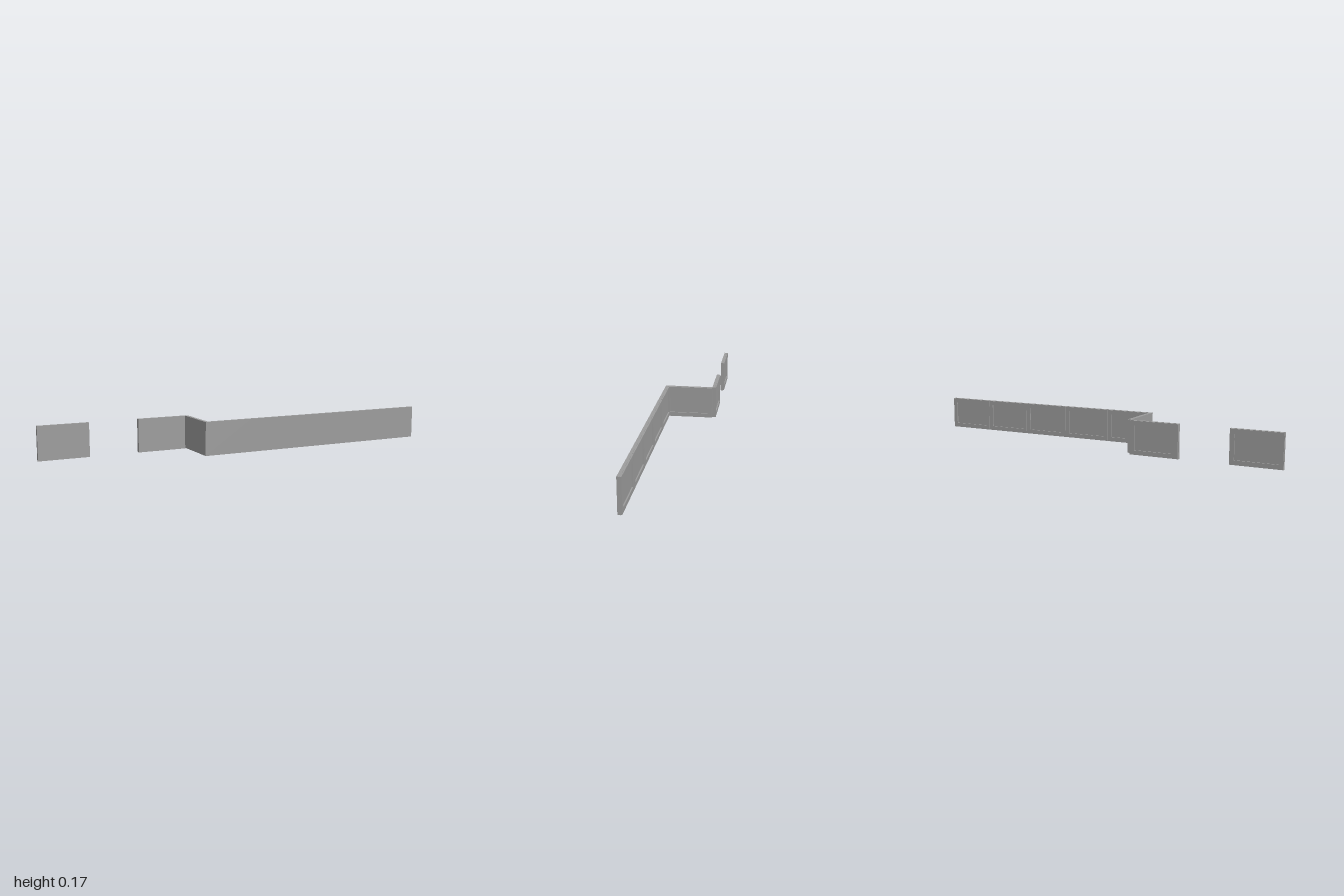
import * as THREE from 'three';

const W = 0.25, T = 0.02, DEPTH = 0.006, MARGIN = 0.023;
const material = new THREE.MeshStandardMaterial({ color: 0x9d9d9d, flatShading: true });

// Corners of a rectangle standing on y = 0, shrunk by an inset
function rectPoints(height, inset) {
  const x = W / 2 - inset, y0 = inset, y1 = height - inset;
  return [[-x, y0], [x, y0], [x, y1], [-x, y1]].map(([a, b]) => new THREE.Vector2(a, b));
}

// Flat slab with a raised rim around a recessed field facing local +z
function makePanel(name, height, x, y, z, turn) {
  const panel = new THREE.Group();
  panel.name = name;

  const slab = new THREE.Mesh(new THREE.BoxGeometry(W, height, T - DEPTH), material);
  slab.name = 'slab';
  slab.position.set(0, height / 2, (T - DEPTH) / 2);

  // The rim is slightly smaller, leaving a fine groove between neighbours
  const outline = new THREE.Shape(rectPoints(height, 0.001));
  outline.holes.push(new THREE.Path(rectPoints(height, MARGIN).reverse()));
  const rim = new THREE.Mesh(
    new THREE.ExtrudeGeometry(outline, { depth: DEPTH, bevelEnabled: false }), material);
  rim.name = 'rim';
  rim.position.z = T - DEPTH;

  panel.add(slab, rim);
  panel.position.set(x, y, z);
  panel.rotation.y = turn;
  return panel;
}

export function createModel() {
  const model = new THREE.Group();
  model.name = 'panelledWall';

  // Long front run, recesses facing the back
  for (let i = 0; i < 5; i++) {
    model.add(makePanel('frontPanel' + (i + 1), 0.166, -0.125 + i * W, 0.003, 0.135, Math.PI));
  }
  // Return wall, recess facing +x
  model.add(makePanel('returnPanel', 0.166, -0.251, 0.003, 0.009, Math.PI / 2));

  // Two rear panels with an opening between them
  for (const [name, x] of [['rearInnerPanel', -0.376], ['rearOuterPanel', -0.875]]) {
    model.add(makePanel(name, 0.168, x, 0, -0.115, Math.PI));
  }
  return model;
}
